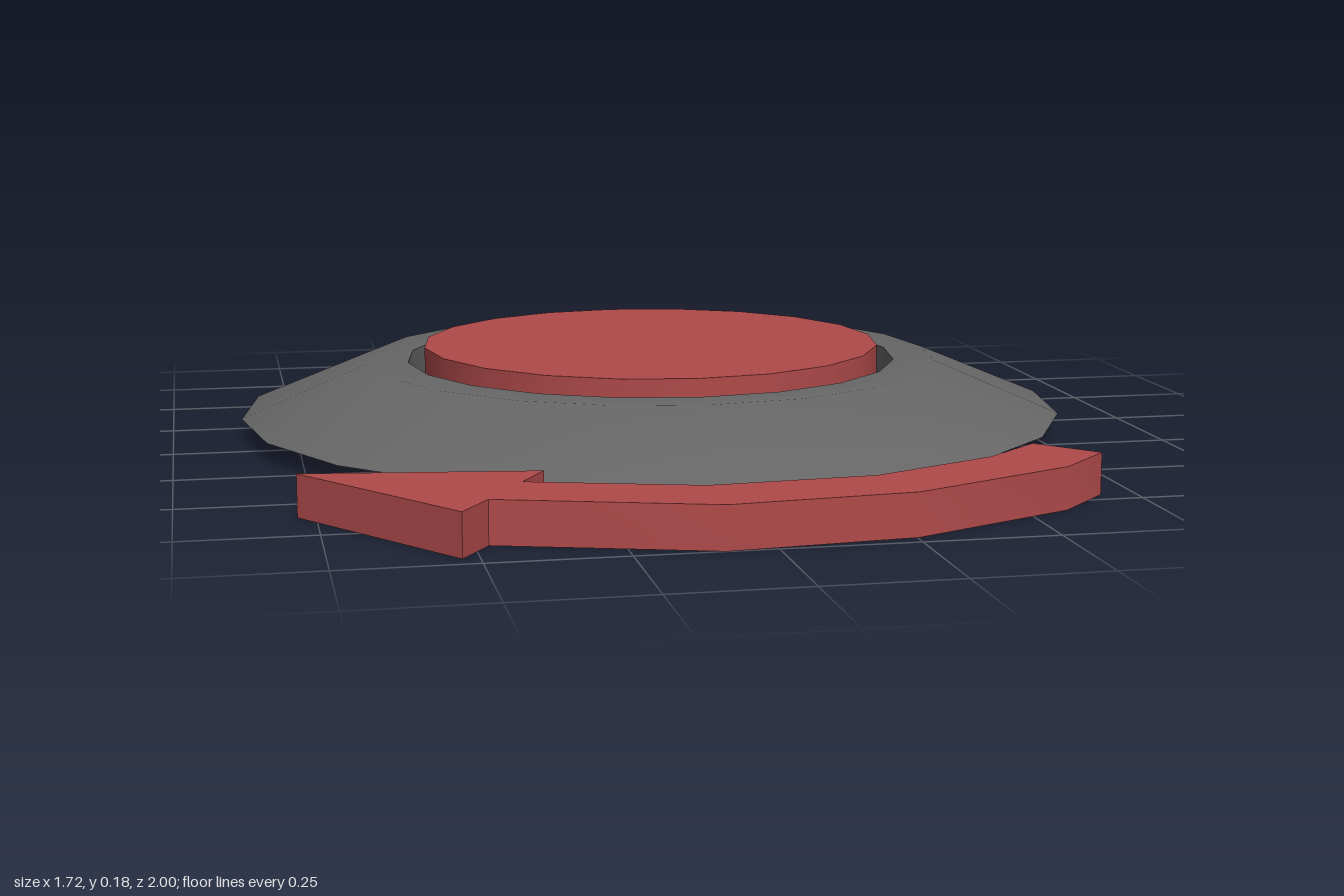
import * as THREE from 'three';
import { toCreasedNormals } from 'three/addons/utils/BufferGeometryUtils.js';

const SIDES = 20;
const CREASE = Math.PI / 6;
const CENTER_Z = -0.14;

const grey = new THREE.MeshStandardMaterial({ color: 0x666666 });
const red = new THREE.MeshStandardMaterial({ color: 0xb04a4a });

const points = (list) => list.map(([a, b]) => new THREE.Vector2(a, b));

function addPart(group, name, geometry, material) {
  const mesh = new THREE.Mesh(toCreasedNormals(geometry, CREASE), material);
  mesh.name = name;
  group.add(mesh);
  return mesh;
}

export function createModel() {
  const group = new THREE.Group();
  group.name = 'buttonWithArrow';

  // Wide sloping base with a round recess in its flat top
  const baseProfile = points([
    [0, 0.04], [0.86, 0.04], [0.6, 0.148], [0.515, 0.148], [0.515, 0.08], [0, 0.08],
  ]);
  const base = addPart(group, 'base', new THREE.LatheGeometry(baseProfile, SIDES), grey);
  base.position.z = CENTER_Z;

  // Push button sitting in the recess
  const button = addPart(group, 'button', new THREE.CylinderGeometry(0.48, 0.48, 0.1, SIDES), red);
  button.position.set(0, 0.128, CENTER_Z);

  // Curved arrow in front of the base, outlined as x, z
  const outline = points([
    [-0.783, 0.611], [-0.53, 0.965], [-0.476, 0.882], // tip, outer barb, outer neck
    [-0.09, 1.0], [0.254, 0.968], [0.577, 0.82], [0.683, 0.712], // outer curve
    [0.587, 0.606], [0.47, 0.708], [0.222, 0.823], [-0.09, 0.845], // inner curve
    [-0.4, 0.754], [-0.35, 0.67], // inner neck, inner barb
  ].map(([x, z]) => [x, -z]));
  const arrow = new THREE.ExtrudeGeometry(new THREE.Shape(outline), { depth: 0.08, bevelEnabled: false });
  arrow.rotateX(-Math.PI / 2);
  addPart(group, 'arrow', arrow, red);

  return group;
}
